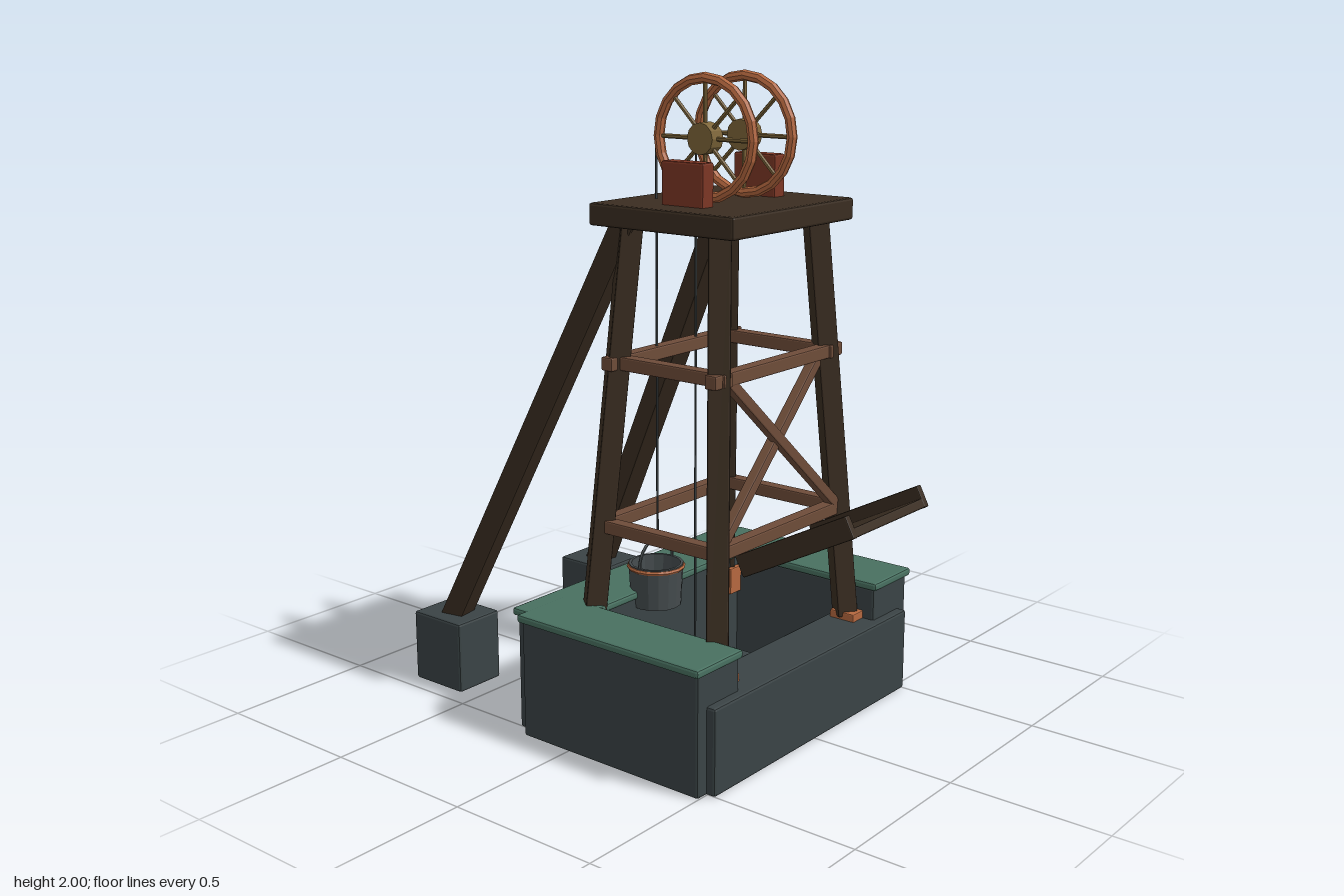
import * as THREE from 'three';
import { RoundedBoxGeometry } from 'three/addons/geometries/RoundedBoxGeometry.js';

const mat = (name, color, side = THREE.FrontSide) => {
  const m = new THREE.MeshStandardMaterial({ color, flatShading: true, side });
  m.name = name;
  return m;
};

export function createModel() {
  const root = new THREE.Group();
  root.name = 'mineHeadframe';
  const stone = mat('dark stone', 0x3a4345);
  const teal = mat('verdigris cap', 0x487060);
  const timber = mat('dark timber', 0x3a2d21);
  const lightTimber = mat('brace timber', 0x6e4c39);
  const copper = mat('copper', 0xb5683f);
  const redIron = mat('red iron', 0x7c3624);
  const brass = mat('brass', 0x7d6539);
  const iron = mat('iron', 0x454c4e, THREE.DoubleSide);

  const add = (name, geometry, material, parent = root) => {
    const mesh = new THREE.Mesh(geometry, material);
    mesh.name = name;
    parent.add(mesh);
    return mesh;
  };
  // Bevelled box given by its extents
  const block = (name, material, x0, x1, y0, y1, z0, z1, bevel = 0.008, parent = root) => {
    const mesh = add(name, new RoundedBoxGeometry(x1 - x0, y1 - y0, z1 - z0, 1, bevel), material, parent);
    mesh.position.set((x0 + x1) / 2, (y0 + y1) / 2, (z0 + z1) / 2);
    return mesh;
  };
  // Square beam between two points
  const beam = (name, material, a, b, size) => {
    const p = new THREE.Vector3(...a), q = new THREE.Vector3(...b);
    const mesh = add(name, new RoundedBoxGeometry(size, size, p.distanceTo(q), 1, 0.005), material);
    mesh.position.copy(p).lerp(q, 0.5);
    mesh.lookAt(q);
    return mesh;
  };

  // Stone pit: low front wall, taller back and side walls with caps
  block('frontWall', stone, -0.505, 0.505, 0, 0.27, 0.35, 0.53);
  block('backWall', stone, -0.505, 0.505, 0, 0.375, -0.235, -0.045);
  block('backCap', teal, -0.52, 0.52, 0.37, 0.395, -0.245, -0.035);
  block('pitFloor', stone, -0.335, 0.335, 0, 0.05, -0.06, 0.37);
  for (const s of [-1, 1]) {
    const side = (name, m, x0, x1, ...rest) => block(name, m, Math.min(s * x0, s * x1), Math.max(s * x0, s * x1), ...rest);
    side('sideWall', stone, 0.355, 0.545, 0, 0.375, -0.18, 0.5);
    side('sideCap', teal, 0.348, 0.558, 0.37, 0.396, -0.19, 0.51);

    // Legs and their copper shoes
    beam('frontLeg', timber, [s * 0.335, 0.28, 0.405], [s * 0.235, 1.57, 0.33], 0.066);
    beam('backLeg', timber, [s * 0.335, 0.28, -0.085], [s * 0.235, 1.57, 0], 0.066);
    side('frontShoe', copper, 0.3, 0.37, 0.25, 0.295, 0.37, 0.46, 0.004);
    side('backShoe', copper, 0.3, 0.37, 0.25, 0.34, -0.13, -0.03, 0.004);

    // Raking back stays on footings
    beam('backStay', timber, [s * 0.358, 0.2, -0.68], [s * 0.235, 1.57, -0.01], 0.075);
    side('stayFooting', stone, 0.265, 0.445, 0, 0.235, -0.775, -0.565);

    // Side rails and crossed front brace
    beam('upperSideRail', lightTimber, [s * 0.267, 1.15, -0.05], [s * 0.267, 1.15, 0.39], 0.042);
    beam('lowerSideRail', lightTimber, [s * 0.307, 0.645, -0.06], [s * 0.307, 0.645, 0.38], 0.042);
    beam('crossBrace', lightTimber, [s * 0.28, 0.66, 0.38 + s * 0.008], [-s * 0.25, 1.15, 0.355 + s * 0.008], 0.034);

    // Bearing blocks
    side('bearingBlock', redIron, 0.148, 0.2, 1.61, 1.75, 0.085, 0.24, 0.006);
  }
  beam('upperFrontRail', lightTimber, [-0.32, 1.15, 0.362], [0.32, 1.15, 0.362], 0.042);
  beam('upperBackRail', lightTimber, [-0.32, 1.15, -0.028], [0.32, 1.15, -0.028], 0.042);
  beam('lowerFrontRail', lightTimber, [-0.3, 0.645, 0.383], [0.3, 0.645, 0.383], 0.042);
  beam('lowerBackRail', lightTimber, [-0.3, 0.645, -0.06], [0.3, 0.645, -0.06], 0.042);

  // Top platform
  block('platform', timber, -0.3, 0.3, 1.555, 1.622, -0.11, 0.425);

  // Winding wheels with hub, spokes and rope
  for (const s of [-1, 1]) {
    const wheel = new THREE.Group();
    wheel.name = 'windingWheel';
    wheel.position.set(s * 0.095, 1.81, 0.165);
    root.add(wheel);
    add('wheelRim', new THREE.TorusGeometry(0.174, 0.016, 8, 20), copper, wheel).rotation.y = Math.PI / 2;
    add('wheelHub', new THREE.CylinderGeometry(0.047, 0.047, 0.052, 12), brass, wheel).rotation.z = Math.PI / 2;
    for (let i = 0; i < 4; i++) {
      add('wheelSpokes', new THREE.CylinderGeometry(0.007, 0.007, 0.34, 6), brass, wheel).rotation.x = i * Math.PI / 4;
    }
    const end = s < 0 ? 0.55 : 0.05;
    const rope = add('rope', new THREE.CylinderGeometry(0.004, 0.004, 1.81 - end, 6), iron);
    rope.position.set(s * 0.095, (1.81 + end) / 2, -0.02);
  }

  // Hoisting bucket
  const bucket = new THREE.Group();
  bucket.name = 'bucket';
  bucket.position.set(-0.097, 0.34, -0.025);
  root.add(bucket);
  const profile = [[0, 0], [0.08, 0], [0.087, 0.135], [0.078, 0.135], [0.072, 0.015], [0, 0.015]];
  add('bucketBody', new THREE.LatheGeometry(profile.map(p => new THREE.Vector2(...p)), 16), iron, bucket);
  const band = add('bucketBand', new THREE.TorusGeometry(0.086, 0.007, 6, 16), copper, bucket);
  band.rotation.x = Math.PI / 2;
  band.position.y = 0.125;
  add('bucketHandle', new THREE.TorusGeometry(0.08, 0.005, 6, 14, Math.PI), iron, bucket).position.y = 0.135;

  // Tipping chute sloping out of the front
  const chute = new THREE.Group();
  chute.name = 'chute';
  chute.position.set(0, 0.675, 0.572);
  chute.rotation.x = -0.48;
  root.add(chute);
  block('chuteFloor', timber, -0.195, 0.195, -0.033, -0.005, -0.215, 0.215, 0.004, chute);
  for (const x of [-0.19, 0.19]) {
    block('chuteSide', timber, x - 0.012, x + 0.012, -0.034, 0.034, -0.216, 0.216, 0.004, chute);
  }
  return root;
}
